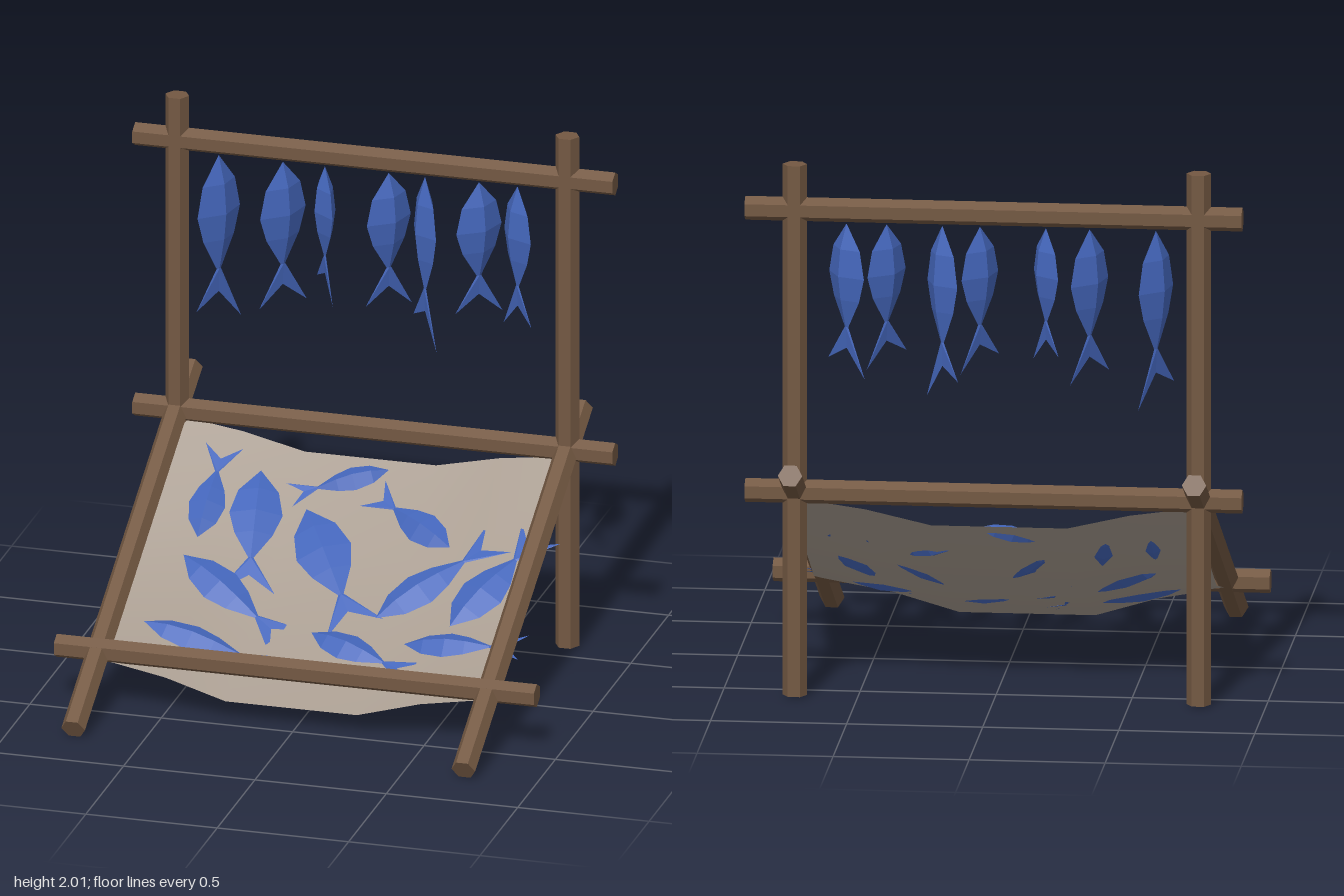
import * as THREE from 'three';

const wood = new THREE.MeshStandardMaterial({ color: 0x735842, flatShading: true });
const scales = new THREE.MeshStandardMaterial({ color: 0x4466bb, flatShading: true });
const canvas = new THREE.MeshStandardMaterial({ color: 0xa89c90, side: THREE.DoubleSide });

const V = (x, y, z) => new THREE.Vector3(x, y, z);

// Hexagonal pole between two points, its corners turned by the given angle
function pole(name, a, b, turn) {
  const geo = new THREE.CylinderGeometry(0.045, 0.045, a.distanceTo(b), 6);
  geo.rotateY(turn);
  const mesh = new THREE.Mesh(geo, wood);
  mesh.name = name;
  mesh.position.copy(a).add(b).multiplyScalar(0.5);
  mesh.quaternion.setFromUnitVectors(V(0, 1, 0), b.clone().sub(a).normalize());
  return mesh;
}

// Piecewise linear interpolation through (xs, ys)
function interp(xs, ys, x) {
  let i = 0;
  while (i < xs.length - 2 && x > xs[i + 1]) i++;
  return ys[i] + (ys[i + 1] - ys[i]) * (x - xs[i]) / (xs[i + 1] - xs[i]);
}

// Height of the sagging cloth: outer edge profile blended with the centre profile
const COLS = [-0.75, -0.5, -0.27, 0.23, 0.47, 0.73];
const SAG = [0, 0.4, 1, 1, 0.4, 0];
const ROWS = [-0.6, -0.25, 0.1, 0.45];
const EDGE = [0.74, 0.475, 0.275, 0.18];
const MIDDLE = [0.65, 0.405, 0.205, 0.065];
function clothY(x, z) {
  const e = interp(ROWS, EDGE, z), m = interp(ROWS, MIDDLE, z);
  return e + (m - e) * interp(COLS, SAG, x);
}

function makeCloth() {
  const geo = new THREE.PlaneGeometry(1, 1, COLS.length - 1, ROWS.length - 1).rotateX(-Math.PI / 2);
  const p = geo.attributes.position;
  for (let i = 0; i < p.count; i++) {
    const x = COLS[i % COLS.length], z = ROWS[Math.floor(i / COLS.length)];
    p.setXYZ(i, x, clothY(x, z), z);
  }
  geo.computeVertexNormals();
  const mesh = new THREE.Mesh(geo, canvas);
  mesh.name = 'cloth';
  return mesh;
}

// Fish with its nose at the origin, pointing up: diamond sections and a forked tail.
// Depth runs along z, thickness along x; skew lengthens one tail lobe.
function makeFish(name, length, depth, thick, skew = 0) {
  const sections = [[0, 0], [0.24, 0.76], [0.5, 1], [0.73, 0.72], [1, 0.1]];
  const rings = sections.map(([t, s]) => {
    const y = -t * length, d = depth * s, w = thick * s;
    return [V(0, y, d), V(w, y, 0), V(0, y, -d), V(-w, y, 0)];
  });
  const tris = [];
  for (let i = 0; i < rings.length - 1; i++) {
    for (let j = 0; j < 4; j++) {
      const k = (j + 1) % 4, a = rings[i], b = rings[i + 1];
      tris.push(a[j], b[j], b[k]);
      if (i > 0) tris.push(a[j], b[k], a[k]);
    }
  }
  // Forked tail
  const [p, q, r, s] = rings[rings.length - 1];
  const front = V(0, -length * (1.4 - skew), depth * 1.05);
  const back = V(0, -length * (1.4 + skew), -depth * 1.05);
  const notch = V(0, -length * 1.2, 0);
  tris.push(p, front, q, q, front, notch, q, notch, back, q, back, r);
  tris.push(p, s, front, s, notch, front, s, back, notch, s, r, back);
  const geo = new THREE.BufferGeometry().setFromPoints(tris);
  geo.computeVertexNormals();
  const mesh = new THREE.Mesh(geo, scales);
  mesh.name = name;
  return mesh;
}

export function createModel() {
  const model = new THREE.Group();
  model.name = 'fishDryingRack';

  // Uprights and sloping rails
  for (const [side, x] of [['right', -0.755], ['left', 0.73]]) {
    model.add(pole(side + 'Post', V(x, 0, -0.6), V(x, 2, -0.6), Math.PI / 6));
    model.add(pole(side + 'SlopingRail', V(x, 0.028, 0.78), V(x, 0.868, -0.78), Math.PI / 6));
  }
  // Crossbars
  for (const [name, y, z] of [['topBar', 1.83, -0.6], ['middleBar', 0.767, -0.6], ['frontBar', 0.212, 0.44]]) {
    model.add(pole(name, V(-0.915, y, z), V(0.912, y, z), Math.PI / 6));
  }
  model.add(makeCloth());

  // Hanging fish: x, body length, half depth, yaw in degrees, tail skew
  const hanging = [
    [-0.597, 0.445, 0.108, -30, 0.08], [-0.353, 0.4, 0.112, -32, 0.02],
    [-0.193, 0.35, 0.1, 32, -0.07], [0.05, 0.37, 0.105, -34, 0.05],
    [0.188, 0.44, 0.092, 42, -0.1], [0.393, 0.365, 0.105, -36, 0.05],
    [0.54, 0.39, 0.1, 45, 0.06],
  ];
  for (const [x, length, depth, yaw, skew] of hanging) {
    const fish = makeFish('hangingFish', length, depth, 0.04, skew);
    fish.position.set(x, 1.78, -0.6);
    fish.rotation.y = THREE.MathUtils.degToRad(yaw);
    model.add(fish);
  }

  // Fish lying on the cloth: nose x, z, tail root x, z, half depth
  const lying = [
    [-0.56, -0.19, -0.555, -0.43, 0.068], [-0.4, -0.475, -0.35, -0.165, 0.098],
    [0.065, -0.55, -0.18, -0.46, 0.052], [-0.2, -0.38, 0.02, -0.07, 0.105],
    [0.375, -0.275, 0.125, -0.415, 0.066], [-0.59, -0.11, -0.265, 0.055, 0.08],
    [-0.65, 0.21, -0.275, 0.24, 0.068], [-0.045, 0.095, 0.26, 0.21, 0.066],
    [0.175, 0.01, 0.445, -0.215, 0.085], [0.47, 0.055, 0.64, -0.22, 0.092],
    [0.315, 0.122, 0.65, 0.155, 0.066],
  ];
  for (const [x0, z0, x1, z1, depth] of lying) {
    const lift = 0.018;
    const nose = V(x0, clothY(x0, z0) + lift, z0);
    const root = V(x1, clothY(x1, z1) + lift, z1);
    const fish = makeFish('lyingFish', nose.distanceTo(root), depth, 0.032);
    const along = nose.clone().sub(root).normalize();
    // Local slope of the cloth gives the way up
    const mx = (x0 + x1) / 2, mz = (z0 + z1) / 2, h = 0.06;
    const up = V(clothY(mx - h, mz) - clothY(mx + h, mz), 2 * h, clothY(mx, mz - h) - clothY(mx, mz + h));
    const across = up.cross(along).normalize();
    const out = along.clone().cross(across);
    fish.quaternion.setFromRotationMatrix(new THREE.Matrix4().makeBasis(out, along, across));
    fish.position.copy(nose);
    model.add(fish);
  }
  return model;
}
